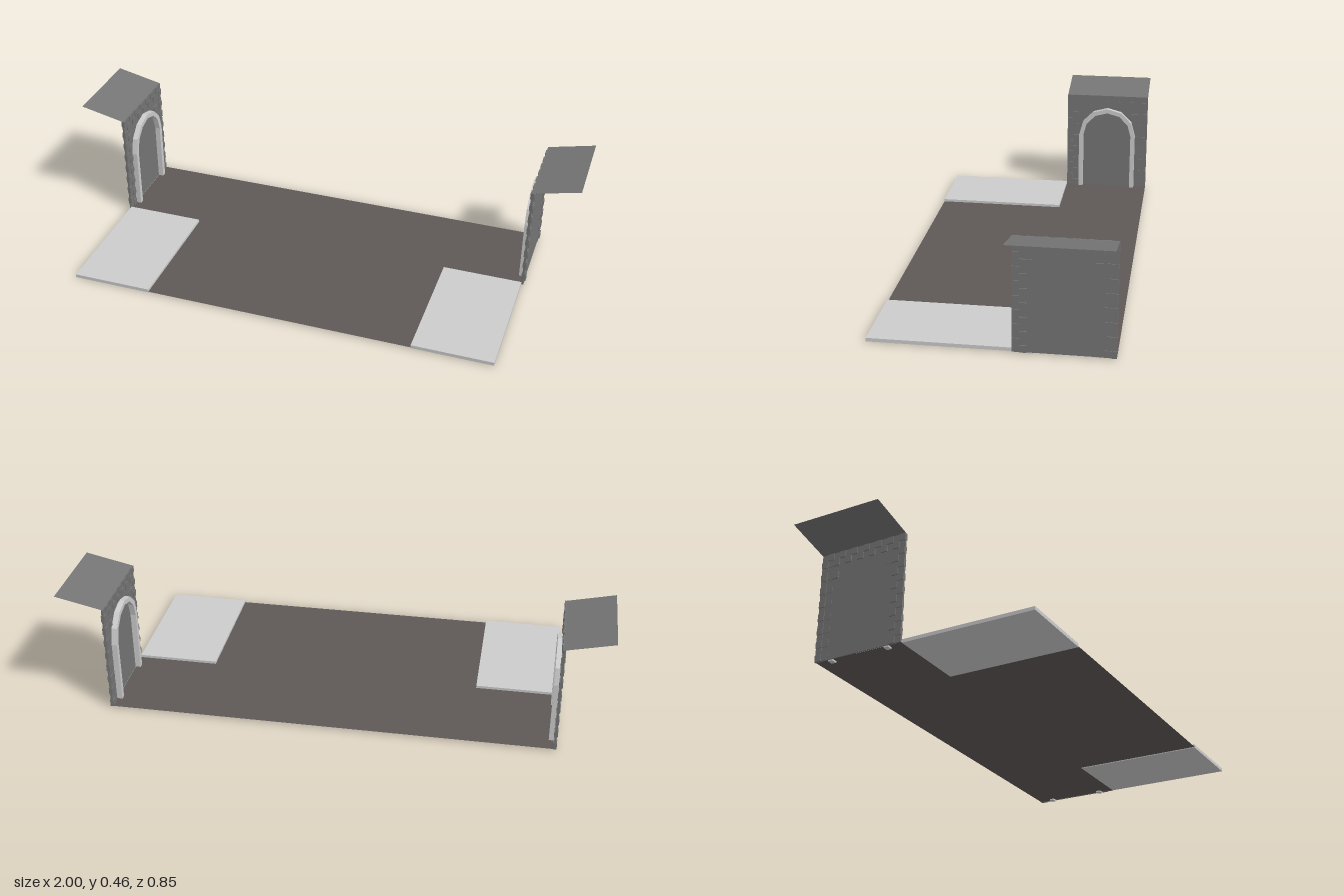
import * as THREE from 'three';

const mat = (color) => new THREE.MeshStandardMaterial({ color, flatShading: true, side: THREE.DoubleSide });
const STONE = mat(0x757575), FLOOR = mat(0x5e5957), PALE = mat(0xcccccc);

// Wall extents along z and y
const Z0 = -0.425, Z1 = -0.075, Y0 = 0.005, Y1 = 0.42;
const ZC = (Z0 + Z1) / 2, WALL_X = 0.824;

function add(parent, name, geometry, material, x = 0, y = 0, z = 0) {
  const mesh = new THREE.Mesh(geometry, material);
  mesh.name = name;
  mesh.position.set(x, y, z);
  parent.add(mesh);
  return mesh;
}

// Points up one jamb, over the arch and down the other
function archPoints(radius, spring, foot) {
  const pts = [new THREE.Vector2(radius, foot)];
  for (let i = 0; i <= 6; i++) {
    const a = (i / 6) * Math.PI;
    pts.push(new THREE.Vector2(radius * Math.cos(a), spring + radius * Math.sin(a)));
  }
  pts.push(new THREE.Vector2(-radius, foot));
  return pts;
}

// One end of the stage, on the +x side
function createEnd() {
  const end = new THREE.Group();

  // Thin backing panel
  add(end, 'wallPanel', new THREE.BoxGeometry(0.004, Y1 - Y0, Z1 - Z0), STONE, WALL_X, (Y0 + Y1) / 2, ZC);

  // Raised quoins along both edges and a toothed course along the top
  const bricks = new THREE.Group();
  bricks.name = 'edgeBricks';
  end.add(bricks);
  const rows = 16, cols = 14;
  const h = (Y1 - Y0) / rows, w = (Z1 - Z0) / cols;
  for (let r = 0; r < rows; r++) {
    for (let c = 0; c < cols; c++) {
      const fromEdge = Math.min(c, cols - 1 - c);
      const edge = fromEdge < (r % 2 ? 2 : 1) || (r === 3 && fromEdge === 2);
      const top = r === 0 || (r === 1 && c % 2 === 0);
      if (!edge && !top) continue;
      const depth = (r + c) % 2 ? 0.013 : 0.007;
      add(bricks, 'brick', new THREE.BoxGeometry(depth, h, w), STONE,
        WALL_X, Y1 - (r + 0.5) * h, Z0 + (c + 0.5) * w);
    }
  }

  // Arched door frame on the inner face
  const outer = archPoints(0.1225, 0.2425, 0);
  const inner = archPoints(0.104, 0.2425, 0).reverse();
  const frame = new THREE.ExtrudeGeometry(new THREE.Shape([...outer, ...inner]), { depth: 0.022, bevelEnabled: false });
  frame.rotateY(-Math.PI / 2);
  add(end, 'archFrame', frame, PALE, 0.823, 0, ZC);

  // Canopy sheet rising outwards from the top of the wall
  const rise = 0.04, run = 1 - WALL_X;
  const canopy = new THREE.PlaneGeometry(Math.hypot(rise, run), Z1 - Z0).rotateX(-Math.PI / 2);
  canopy.rotateZ(Math.atan2(rise, run));
  add(end, 'canopy', canopy, STONE, WALL_X + run / 2, Y1 + rise / 2, ZC);

  // Pale slab in front of the wall
  add(end, 'frontSlab', new THREE.BoxGeometry(0.305, 0.013, 0.5), PALE, 0.6675, 0.0095, 0.175);
  return end;
}

export function createModel() {
  const model = new THREE.Group();
  model.name = 'stage';

  add(model, 'floor', new THREE.PlaneGeometry(1.64, 0.85).rotateX(-Math.PI / 2), FLOOR, 0, 0.006, 0);

  const left = createEnd();
  left.name = 'leftEnd';
  const right = createEnd();
  right.name = 'rightEnd';
  right.scale.x = -1;
  model.add(left, right);
  return model;
}
